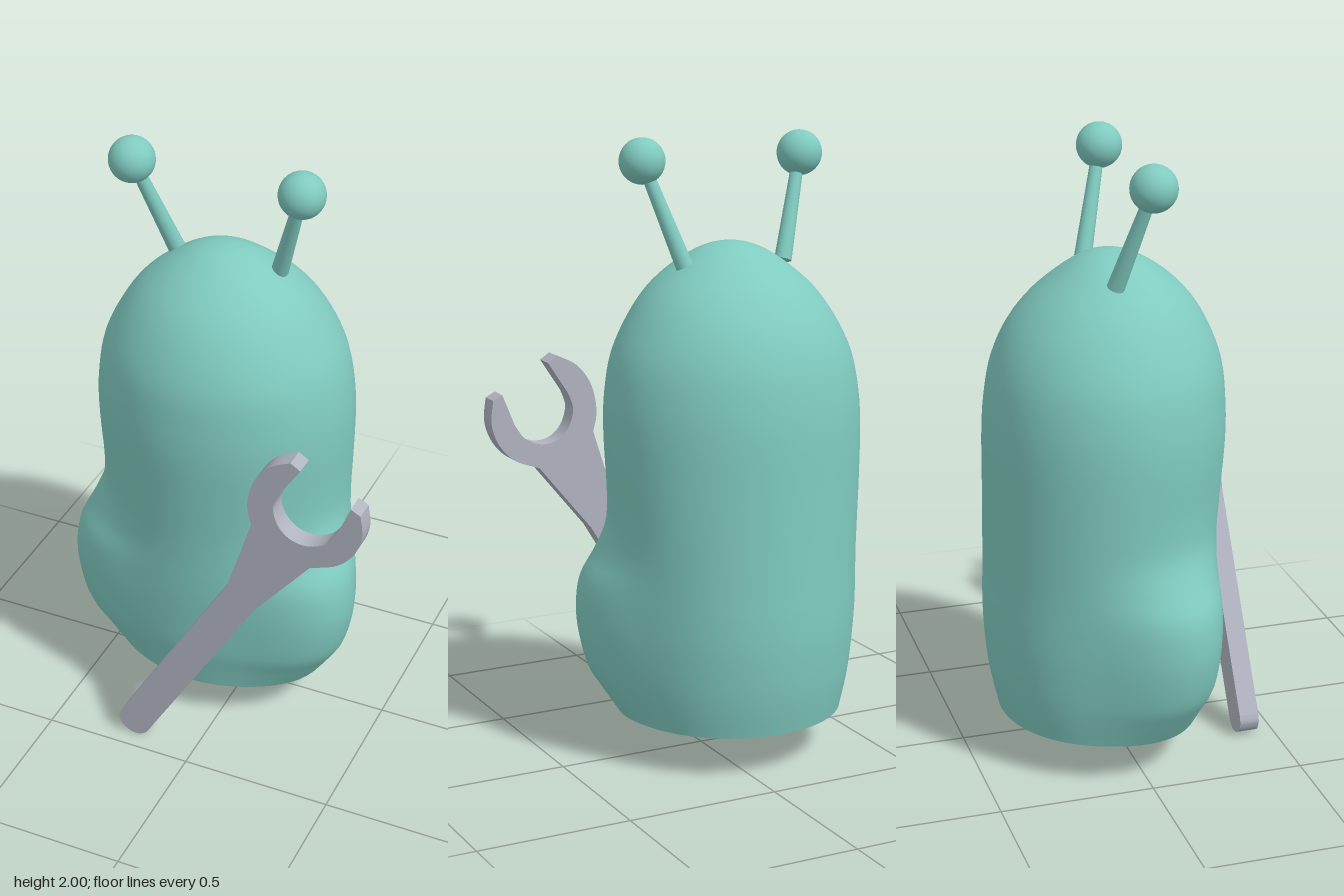
import * as THREE from 'three';
import { mergeVertices } from 'three/addons/utils/BufferGeometryUtils.js';

const CX = -0.09; // the body stands slightly to one side of the tool

// Body cross-sections, bottom to top: [y, half width, front z, back z, hip bulge]
const SECTIONS = [
  [0.14, 0.35, 0.265, -0.39, 0.035],
  [0.22, 0.365, 0.28, -0.408, 0.075],
  [0.30, 0.375, 0.295, -0.422, 0.112],
  [0.42, 0.383, 0.303, -0.433, 0.133],
  [0.52, 0.388, 0.308, -0.435, 0.13],
  [0.60, 0.392, 0.31, -0.433, 0.11],
  [0.68, 0.398, 0.312, -0.431, 0.06],
  [0.78, 0.406, 0.317, -0.429, 0.012],
  [0.92, 0.415, 0.328, -0.427, 0],
  [1.08, 0.42, 0.34, -0.425, 0],
  [1.20, 0.413, 0.338, -0.416, 0],
  [1.32, 0.388, 0.325, -0.393, 0],
  [1.43, 0.335, 0.285, -0.345, 0],
  [1.52, 0.272, 0.23, -0.275, 0],
  [1.59, 0.195, 0.16, -0.195, 0],
  [1.64, 0.118, 0.085, -0.125, 0],
  [1.663, 0.055, 0.03, -0.07, 0],
  [1.67, 0, -0.02, -0.02, 0],
];

// Point on the body skin; the bulge sits forward of the middle on both sides
function skinPoint([y, w, front, back, bulge], angle) {
  const c = Math.cos(angle), s = Math.sin(angle);
  const side = Math.atan2(s, Math.abs(c));
  const push = bulge * Math.exp(-(((side - 0.42) / 0.36) ** 2) / 2);
  return [CX + c * (w + push), y, (front + back) / 2 + s * ((front - back) / 2 + push)];
}

function bodyGeometries() {
  const around = 72, rows = 68;
  const widths = new THREE.CatmullRomCurve3(SECTIONS.map((s) => new THREE.Vector3(s[0], s[1], s[4])), false, 'catmullrom');
  const depths = new THREE.CatmullRomCurve3(SECTIONS.map((s) => new THREE.Vector3(s[2], s[3], 0)), false, 'catmullrom');
  const positions = [], index = [];
  for (let r = 0; r <= rows; r++) {
    const p = widths.getPoint(r / rows), q = depths.getPoint(r / rows);
    for (let i = 0; i < around; i++) {
      positions.push(...skinPoint([p.x, p.y, q.x, q.y, Math.max(0, p.z)], (i / around) * Math.PI * 2));
      if (r === rows) continue;
      const a = r * around + i, b = r * around + ((i + 1) % around);
      index.push(a, a + around, b);
      if (r < rows - 1) index.push(b, a + around, b + around);
    }
  }
  let skin = new THREE.BufferGeometry();
  skin.setAttribute('position', new THREE.Float32BufferAttribute(positions, 3));
  skin.setIndex(index);
  skin = mergeVertices(skin);
  skin.computeVertexNormals();

  // Flat underside
  const basePositions = [CX, 0.14, -0.06, ...positions.slice(0, around * 3)], baseIndex = [];
  for (let i = 0; i < around; i++) baseIndex.push(0, i + 1, ((i + 1) % around) + 1);
  const base = new THREE.BufferGeometry();
  base.setAttribute('position', new THREE.Float32BufferAttribute(basePositions, 3));
  base.setIndex(baseIndex);
  base.computeVertexNormals();
  return { skin, base };
}

function wrenchGeometry() {
  const v = (list) => list.map(([x, y]) => new THREE.Vector2(x, y));
  const s = new THREE.Shape();
  s.moveTo(-0.266, 0.08);
  s.lineTo(0.124, 0.733);
  s.lineTo(0.208, 1.0);
  // upper jaw, outside
  s.splineThru(v([[0.195, 1.07], [0.214, 1.16], [0.265, 1.23], [0.335, 1.267]]));
  s.lineTo(0.367, 1.246);
  // mouth
  s.lineTo(0.298, 1.14);
  s.splineThru(v([[0.28, 1.085], [0.296, 1.025], [0.337, 0.985], [0.393, 0.976], [0.451, 1.0], [0.488, 1.05]]));
  s.lineTo(0.53, 1.155);
  s.lineTo(0.562, 1.138);
  // lower jaw, outside
  s.splineThru(v([[0.569, 1.06], [0.543, 0.987], [0.488, 0.93], [0.404, 0.897]]));
  s.lineTo(0.219, 0.67);
  s.lineTo(-0.152, 0.053);
  // rounded handle end
  s.splineThru(v([[-0.178, 0.014], [-0.215, 0.001], [-0.255, 0.019], [-0.272, 0.053], [-0.266, 0.08]]));
  const g = new THREE.ExtrudeGeometry(s, { depth: 0.065, bevelEnabled: false, curveSegments: 6 });
  return g.translate(0, 0, 0.376);
}

export function createModel() {
  const teal = new THREE.MeshStandardMaterial({ color: 0x80cbc0 });
  teal.name = 'teal skin';
  const steel = new THREE.MeshStandardMaterial({ color: 0xb0b4c0 });
  steel.name = 'grey steel';

  const model = new THREE.Group();
  model.name = 'antennaCreatureWithWrench';
  const add = (name, geometry, material) => {
    const mesh = new THREE.Mesh(geometry, material);
    mesh.name = name;
    model.add(mesh);
    return mesh;
  };

  const { skin, base } = bodyGeometries();
  add('body', skin, teal);
  add('underside', base, teal);

  // Antennae: tapered stalks tipped with balls
  for (const [name, side] of [['left', 1], ['right', -1]]) {
    const foot = new THREE.Vector3(CX + side * 0.175, 1.6, -0.055);
    const tip = new THREE.Vector3(CX + side * 0.28, 1.928, 0.03);
    const dir = tip.clone().sub(foot);
    const stalk = add(`${name}AntennaStalk`, new THREE.CylinderGeometry(0.019, 0.028, dir.length(), 20), teal);
    stalk.position.copy(foot).add(tip).multiplyScalar(0.5);
    stalk.quaternion.setFromUnitVectors(new THREE.Vector3(0, 1, 0), dir.normalize());
    add(`${name}AntennaBall`, new THREE.SphereGeometry(0.073, 32, 20), teal).position.copy(tip);
  }

  add('wrench', wrenchGeometry(), steel);
  return model;
}
